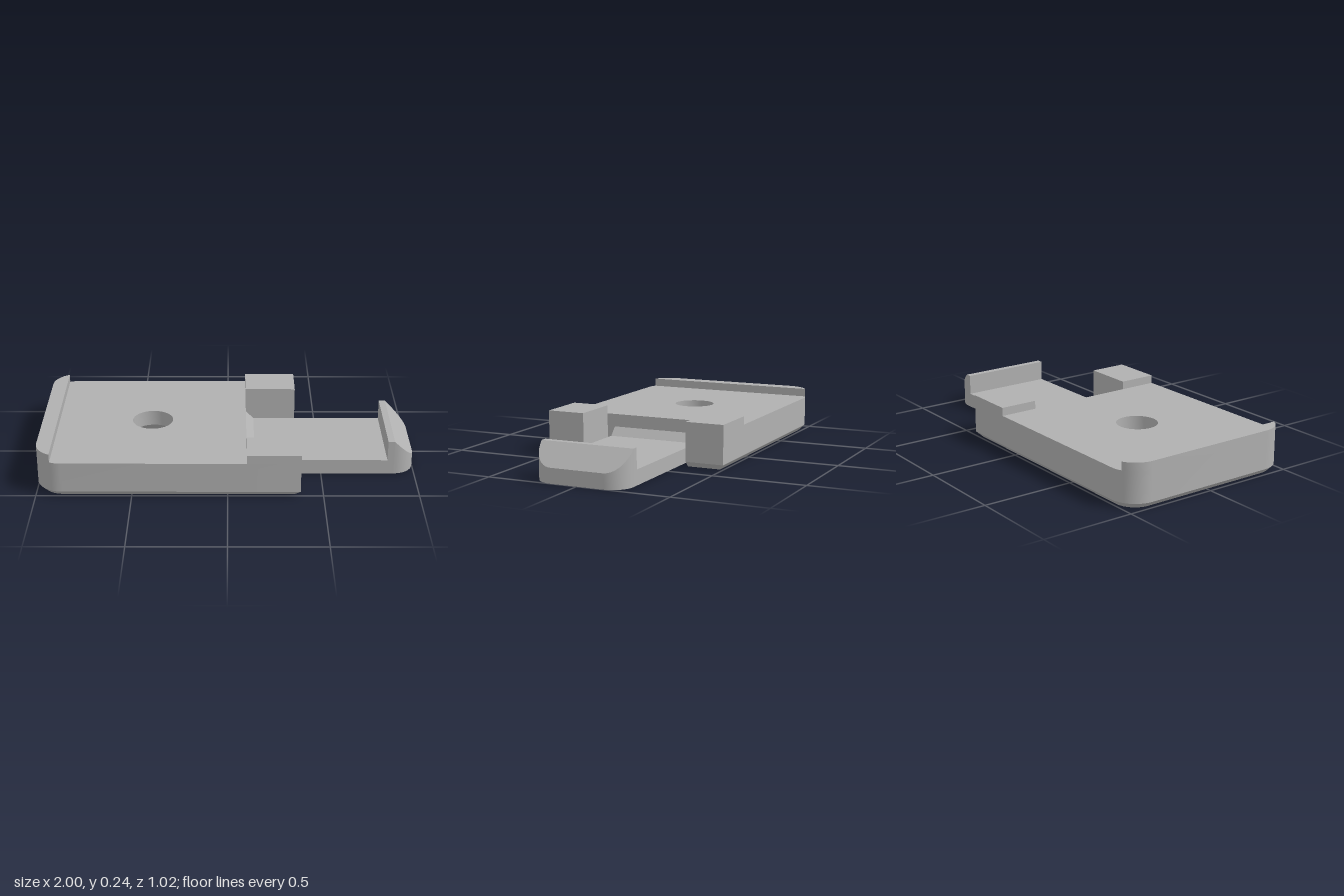
import * as THREE from 'three';
import { toCreasedNormals } from 'three/addons/utils/BufferGeometryUtils.js';

const V = (x, y) => new THREE.Vector2(x, y);

// Points on an arc, angles in degrees
function arc(cx, cy, r, from, to, n = 12) {
  return Array.from({ length: n + 1 }, (_, i) => {
    const a = THREE.MathUtils.degToRad(from + (to - from) * i / n);
    return V(cx + r * Math.cos(a), cy + r * Math.sin(a));
  });
}

// Plan of the plate: rounded on one end, two prongs on the other
function plateOutline(inset) {
  const end = 0.38 - inset, w = 0.51 - inset, r = 0.14 - inset;
  return [
    V(0.1, 0.3), V(end, 0.3), V(end, w),
    ...arc(-0.86, 0.37, r, 90, 180), ...arc(-0.86, -0.37, r, 180, 270),
    V(end, -w), V(end, -0.3), V(0.1, -0.3),
  ];
}

// Side walls joining stacked plan outlines
function walls(levels) {
  const pos = [];
  for (let k = 0; k < levels.length - 1; k++) {
    const [lo, y0] = levels[k], [hi, y1] = levels[k + 1];
    lo.forEach((p, i) => {
      const j = (i + 1) % lo.length;
      const a = [p.x, y0, -p.y], b = [lo[j].x, y0, -lo[j].y];
      const c = [hi[j].x, y1, -hi[j].y], d = [hi[i].x, y1, -hi[i].y];
      pos.push(...a, ...b, ...c, ...a, ...c, ...d);
    });
  }
  const g = new THREE.BufferGeometry();
  g.setAttribute('position', new THREE.Float32BufferAttribute(pos, 3));
  return g;
}

// Flat face with the screw hole cut out
function cap(outline, holeRadius, up) {
  const shape = new THREE.Shape(outline);
  shape.holes.push(new THREE.Path(arc(-0.41, 0, holeRadius, 0, 360, 48).slice(0, -1)));
  return new THREE.ShapeGeometry(shape).rotateX(up ? -Math.PI / 2 : Math.PI / 2);
}

// Plan shape raised upwards
function slab(points, y, height) {
  return new THREE.ExtrudeGeometry(new THREE.Shape(points), { depth: height, bevelEnabled: false })
    .rotateX(-Math.PI / 2).translate(0, y, 0);
}

export function createModel() {
  const model = new THREE.Group();
  model.name = 'clipPlate';
  const grey = new THREE.MeshStandardMaterial({ color: 0xb0b0b0 });
  grey.name = 'grey';
  const add = (name, geometry) => {
    const mesh = new THREE.Mesh(toCreasedNormals(geometry, 0.5), grey);
    mesh.name = name;
    model.add(mesh);
  };
  const top = 0.195, full = 0.24;

  // Plate with chamfered lower edge
  const outer = plateOutline(0), bottom = plateOutline(0.03);
  add('plateWalls', walls([[bottom, 0], [outer, 0.03], [outer, top]]));
  add('plateTop', cap(outer, 0.11, true));
  model.children.at(-1).position.y = top;
  add('plateBottom', cap(bottom, 0.22, false));

  // Countersunk hole, facing inwards
  add('screwHole', new THREE.LatheGeometry([V(0.11, top), V(0.11, 0.11), V(0.22, 0)], 48)
    .translate(-0.41, 0, 0));

  // Raised lip on the rounded end
  const cut = 180 - THREE.MathUtils.radToDeg(Math.acos(0.06 / 0.14));
  add('endLip', slab([
    ...arc(-0.86, 0.37, 0.14, cut, 180),
    ...arc(-0.86, -0.37, 0.14, 180, 360 - cut),
  ], top, full - top));

  // Raised blocks on the prongs
  for (const s of [1, -1]) {
    add(s > 0 ? 'frontProngBlock' : 'backProngBlock',
      new THREE.BoxGeometry(0.28, full - top, 0.21).translate(0.24, (full + top) / 2, s * 0.405));
  }

  // Spring tongue with sloped root and upright catch
  const profile = new THREE.Shape([
    V(0.1, 0), V(0.89, 0), V(0.89, 0.19), V(0.855, 0.19),
    V(0.855, 0.08), V(0.145, 0.08), V(0.1, 0.125),
  ]);
  add('tongue', new THREE.ExtrudeGeometry(profile, { depth: 0.51, bevelEnabled: false })
    .translate(0, 0, -0.255));

  // Rounded catch tip, its top sloping down at 45 degrees
  const tip = slab([
    ...arc(0.89, -0.145, 0.11, -90, 0), ...arc(0.89, 0.145, 0.11, 0, 90),
  ], 0, 0.19);
  const p = tip.attributes.position;
  for (let i = 0; i < p.count; i++) {
    if (p.getY(i) > 0.1) p.setY(i, 0.19 - (p.getX(i) - 0.89));
  }
  add('catchTip', tip);

  return model;
}
